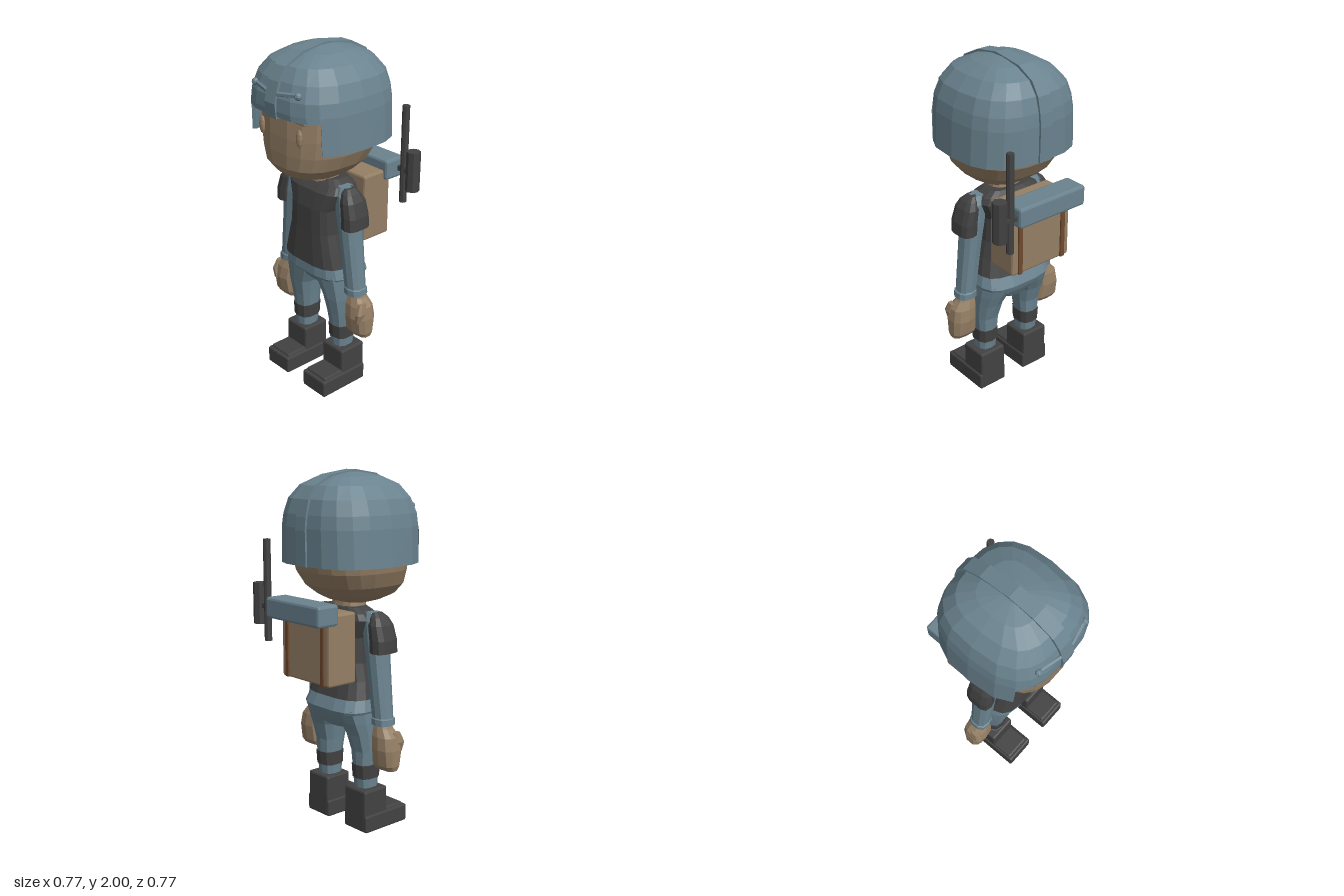
import * as THREE from 'three';
import { RoundedBoxGeometry } from 'three/addons/geometries/RoundedBoxGeometry.js';

const colour = (name, color) => {
  const m = new THREE.MeshStandardMaterial({ color });
  m.name = name;
  return m;
};

// Faceted copy of a geometry
function faceted(geometry) {
  const g = geometry.index ? geometry.toNonIndexed() : geometry;
  g.computeVertexNormals();
  return g;
}

// Horizontal squarish oval: angles in degrees, e sets how boxy it is
function ring(cx, y, rx, zBack, zFront, angles, e = 2.6) {
  const cz = (zBack + zFront) / 2, rz = (zFront - zBack) / 2;
  const bend = v => Math.sign(v) * Math.pow(Math.abs(v), 2 / e);
  return angles.map(d => {
    const a = THREE.MathUtils.degToRad(d);
    return [cx + rx * bend(Math.cos(a)), y, cz + rz * bend(Math.sin(a))];
  });
}

const evenAngles = n => Array.from({ length: n }, (_, i) => (i + 0.5) * 360 / n);

// Skin over a stack of rings, closed at both ends
function loft(rings) {
  const n = rings[0].length, pos = rings.flat(2), index = [];
  const middle = r => [0, 1, 2].map(k => r.reduce((s, p) => s + p[k], 0) / n);
  const last = rings.length - 1, base = rings.length * n;
  pos.push(...middle(rings[0]), ...middle(rings[last]));
  for (let j = 0; j < n; j++) {
    const k = (j + 1) % n;
    for (let i = 0; i < last; i++) {
      const a = i * n + j, b = i * n + k;
      index.push(a, a + n, b, b, a + n, b + n);
    }
    index.push(base, j, k, base + 1, last * n + k, last * n + j);
  }
  const g = new THREE.BufferGeometry();
  g.setAttribute('position', new THREE.Float32BufferAttribute(pos, 3));
  g.setIndex(index);
  return faceted(g);
}

// Rows of [centre x, y, half width, back z, front z]
const limb = (rows, n = 10, e = 2.6) => loft(rows.map(r => ring(...r, evenAngles(n), e)));

function block(w, h, d, x, y, z, bevel = 0.012) {
  return faceted(new RoundedBoxGeometry(w, h, d, 1, bevel)).translate(x, y, z);
}

export function createModel() {
  const blue = colour('blue cloth', 0x6a838f);
  const dark = colour('dark gear', 0x424242);
  const tan = colour('tan', 0x957f65);
  const brown = colour('brown strap', 0x70492e);
  const model = new THREE.Group();
  model.name = 'soldier';

  const add = (name, geometry, material, parent = model) => {
    const mesh = new THREE.Mesh(geometry, material);
    mesh.name = name;
    parent.add(mesh);
    return mesh;
  };

  // Head and neck
  add('head', limb([
    [0, 1.28, 0.09, -0.02, 0.12], [0, 1.295, 0.14, -0.07, 0.2], [0, 1.325, 0.19, -0.13, 0.29],
    [0, 1.38, 0.24, -0.2, 0.33], [0, 1.46, 0.275, -0.25, 0.335], [0, 1.55, 0.29, -0.27, 0.335],
    [0, 1.75, 0.29, -0.27, 0.325],
  ], 20), tan);
  add('neck', limb([[0, 1.2, 0.11, -0.06, 0.11], [0, 1.32, 0.09, -0.04, 0.1]], 12), tan);

  // Helmet shell: low at the sides and back, cut high over the face
  const half = [-90, -72, -54, -36, -18, 0, 20, 40, 41.2, 56, 73];
  const angles = [...half, 90, ...half.slice(1).reverse().map(a => 180 - a)];
  const cutY = a => (a > 40.5 && a < 139.5 ? 1.67 : 1.5);
  const shell = (y, rx, zb, zf) => ring(0, y, rx, zb, zf, angles, 2.8);
  const rim = r => r.map((p, i) => [p[0], cutY(angles[i]), p[2]]);
  add('helmet', loft([
    shell(1.73, 0.312, -0.282, 0.35), rim(shell(0, 0.322, -0.285, 0.352)),
    rim(shell(0, 0.345, -0.305, 0.372)), shell(1.7, 0.334, -0.307, 0.375),
    shell(1.77, 0.322, -0.3, 0.37), shell(1.85, 0.293, -0.278, 0.34),
    shell(1.92, 0.23, -0.225, 0.29), shell(1.965, 0.15, -0.13, 0.19),
    shell(1.987, 0.05, -0.02, 0.09),
  ]), blue);

  // Ridge over the helmet, drawn in side profile
  const crest = [
    [0.375, 1.66], [0.384, 1.74], [0.355, 1.85], [0.31, 1.92], [0.19, 1.978], [0.04, 2],
    [-0.14, 1.975], [-0.245, 1.92], [-0.29, 1.85], [-0.31, 1.76], [-0.316, 1.69], [-0.312, 1.5],
  ].map(p => new THREE.Vector2(...p));
  const under = crest.map(p => new THREE.Vector2(0.035 + (p.x - 0.035) * 0.93, p.y > 1.8 ? p.y - 0.035 : p.y));
  const ridge = new THREE.ExtrudeGeometry(new THREE.Shape([...crest, ...under.reverse()]),
    { depth: 0.08, bevelEnabled: false });
  add('helmetRidge', faceted(ridge.rotateY(-Math.PI / 2).translate(0.04, 0, 0)), blue);

  // Shirt hem, hips and vest
  add('shirtHem', limb([
    [0, 0.685, 0.228, -0.165, 0.155], [0, 0.7, 0.235, -0.17, 0.165],
    [0, 0.8, 0.205, -0.125, 0.16],
  ], 16, 3.2), blue);
  add('hips', limb([
    [0, 0.59, 0.09, -0.1, 0.06], [0, 0.635, 0.18, -0.125, 0.11], [0, 0.7, 0.225, -0.15, 0.15],
  ], 14, 3), blue);
  add('vest', limb([
    [0, 0.765, 0.222, -0.142, 0.177], [0, 0.86, 0.195, -0.11, 0.172], [0, 0.96, 0.168, -0.1, 0.167],
    [0, 1.1, 0.16, -0.1, 0.163], [0, 1.2, 0.205, -0.098, 0.142], [0, 1.235, 0.185, -0.09, 0.11],
    [0, 1.265, 0.135, -0.07, 0.08],
  ], 16, 3.4), dark);

  // Paired parts, mirrored by turning the ring stack to the other side
  for (const [side, s] of [['left', 1], ['right', -1]]) {
    const pair = new THREE.Group();
    pair.name = side + 'Side';
    model.add(pair);
    const both = (rows, n, e) => limb(rows.map(([x, ...r]) => [s * x, ...r]), n, e);
    const put = (name, geometry, material) => add(side + name, geometry, material, pair);

    // Face and helmet fittings
    const oval = new THREE.SphereGeometry(1, 8, 6);
    put('Eye', faceted(oval.clone().scale(0.021, 0.05, 0.015)).translate(s * 0.15, 1.57, 0.316), tan);
    put('Brow', block(0.09, 0.02, 0.03, s * 0.16, 1.66, 0.313, 0.006), tan);
    const bar = new THREE.LineCurve3(new THREE.Vector3(s * 0.04, 1.79, 0.362),
      new THREE.Vector3(s * 0.185, 1.805, 0.33));
    put('HelmetBar', faceted(new THREE.TubeGeometry(bar, 1, 0.013, 6)), blue);
    put('HelmetStud', faceted(oval.clone().scale(0.02, 0.02, 0.02)).translate(s * 0.17, 1.802, 0.337), blue);

    // Sleeve, shoulder pad and fist
    put('Sleeve', both([
      [0.28, 0.63, 0.06, -0.028, 0.092], [0.277, 0.665, 0.06, -0.028, 0.092],
      [0.274, 0.67, 0.055, -0.022, 0.086], [0.24, 0.95, 0.058, -0.03, 0.095],
      [0.22, 1.1, 0.066, -0.034, 0.1], [0.205, 1.2, 0.062, -0.03, 0.095],
      [0.19, 1.245, 0.035, -0.01, 0.07],
    ]), blue);
    put('ShoulderPad', both([
      [0.272, 1.03, 0.05, -0.042, 0.115], [0.268, 1.1, 0.05, -0.042, 0.115],
      [0.25, 1.18, 0.044, -0.038, 0.108], [0.235, 1.22, 0.034, -0.02, 0.09],
      [0.22, 1.245, 0.022, 0, 0.065],
    ], 10, 3.2), dark);
    put('Fist', both([
      [0.308, 0.382, 0.073, -0.01, 0.065], [0.31, 0.41, 0.08, -0.03, 0.085],
      [0.312, 0.5, 0.078, -0.042, 0.1], [0.303, 0.57, 0.075, -0.035, 0.09],
      [0.285, 0.615, 0.055, -0.02, 0.07], [0.28, 0.66, 0.04, -0.005, 0.06],
    ], 10, 2.8), tan);
    put('Thumb', both([
      [0.352, 0.485, 0.018, 0.04, 0.1], [0.364, 0.54, 0.021, 0.03, 0.104],
      [0.355, 0.595, 0.018, 0.03, 0.08],
    ], 8), tan);

    // Trouser leg, dark band and boot
    put('TrouserLeg', both([
      [0.155, 0.23, 0.056, -0.042, 0.08], [0.155, 0.38, 0.062, -0.055, 0.088],
      [0.154, 0.46, 0.07, -0.06, 0.1], [0.149, 0.56, 0.08, -0.09, 0.122],
      [0.133, 0.63, 0.098, -0.12, 0.135], [0.115, 0.71, 0.115, -0.15, 0.15],
    ], 10, 2.8), blue);
    put('LegBand', both([
      [0.156, 0.3, 0.064, -0.054, 0.089], [0.156, 0.38, 0.067, -0.06, 0.093],
    ], 10, 2.8), dark);
    put('BootShaft', block(0.17, 0.245, 0.17, s * 0.161, 0.1225, 0.014), dark);
    put('BootToe', block(0.165, 0.09, 0.27, s * 0.162, 0.07, 0.092), dark);
    put('BootSole', block(0.186, 0.1, 0.315, s * 0.162, 0.05, 0.088, 0.01), dark);

    // Strap down the back of the pack
    put('PackStrap', block(0.028, 0.375, 0.02, s * 0.15, 1.06, -0.29, 0.004), brown);
  }

  // Backpack with bedroll and radio
  add('backpack', block(0.4, 0.39, 0.19, 0, 1.065, -0.195), tan);
  add('bedroll', block(0.45, 0.115, 0.14, 0, 1.262, -0.312, 0.014), blue);
  const rod = (r, low, high, x, n) =>
    faceted(new THREE.CylinderGeometry(r, r, high - low, n)).translate(x, (low + high) / 2, -0.34);
  add('antenna', rod(0.021, 1.065, 1.63, 0.26, 8), dark);
  add('radioHandset', rod(0.04, 1.155, 1.385, 0.328, 8), dark);
  add('radioBracket', block(0.12, 0.03, 0.03, 0.265, 1.26, -0.34, 0.005), dark);

  return model;
}
